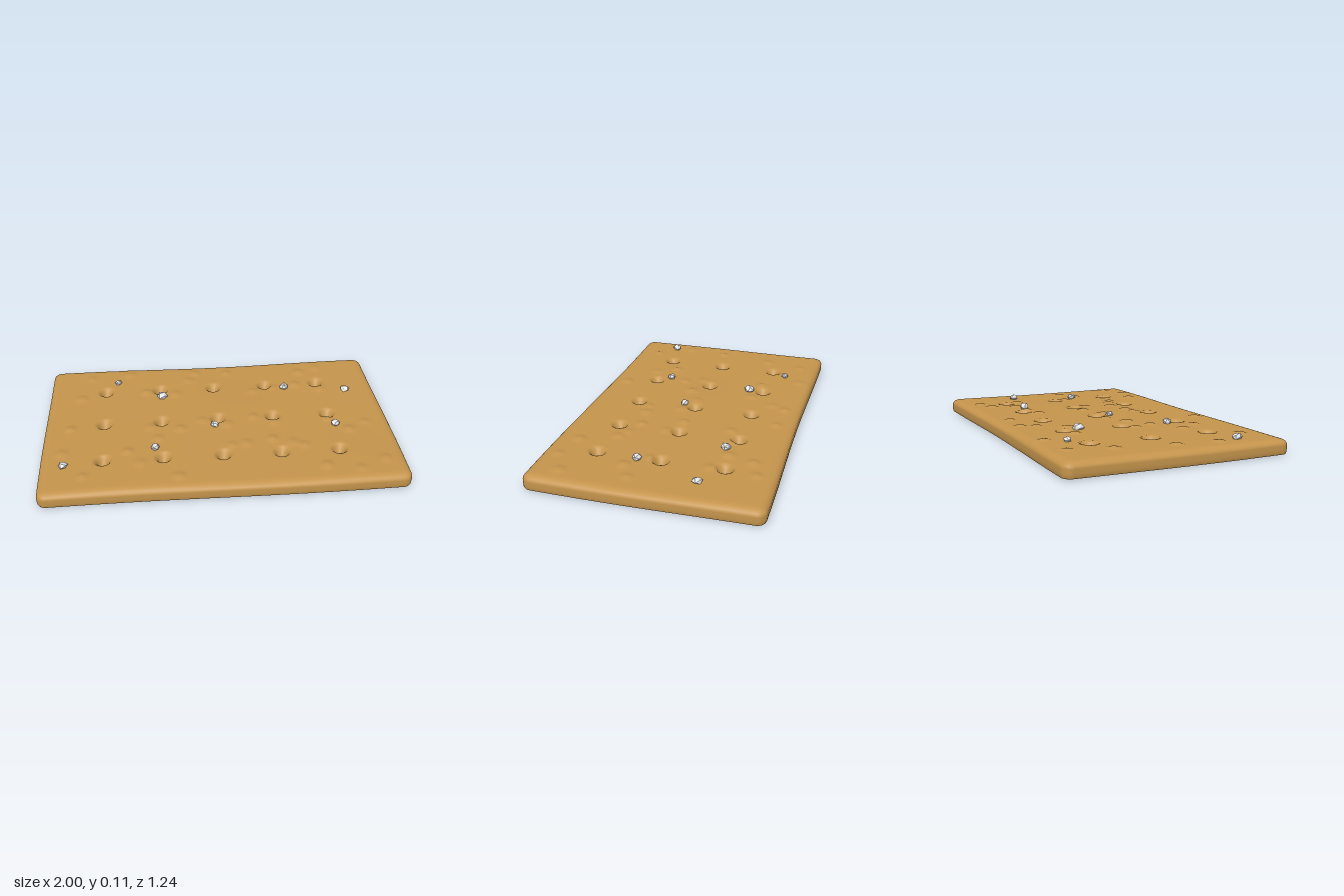
import * as THREE from 'three';

// Half size of the flat top, and the rounded border around it
const HX = 0.945, HZ = 0.565, BORDER = 0.05, TOP = 0.08;
const NX = 170, NZ = 104;

// Skirt profile from the flat top outwards and down: [outward, y]
const SKIRT = [[0, TOP]];
for (let i = 1; i <= 6; i++) {
  const a = (i / 6) * Math.PI / 2;
  SKIRT.push([BORDER * Math.sin(a), TOP - 0.032 * (1 - Math.cos(a))]);
}
SKIRT.push([BORDER, 0.025], [BORDER - 0.001, 0.01], [BORDER - 0.005, 0.002]);
const K = SKIRT.length - 1;

const BUMPS = [
  [-0.75, -0.5], [-0.51, -0.53], [-0.1, -0.52], [-0.14, -0.44], [0.1, -0.51], [0.56, -0.47], [0.68, -0.51],
  [-0.8, -0.28], [-0.41, -0.32], [-0.23, -0.29], [0.24, -0.28], [0.51, -0.33], [0.37, -0.31], [0.66, -0.27],
  [-0.85, 0.03], [-0.39, 0.05], [-0.35, 0.16], [-0.22, 0.08], [-0.09, 0.01], [0.05, 0.06], [0.21, 0],
  [0.33, 0.06], [0.64, 0.05], [0.74, 0.16], [0.85, 0.1], [-0.88, 0.26], [-0.52, 0.27], [-0.45, 0.38],
];
const BUMPS_FRONT = [
  [-0.76, 0.47], [-0.25, 0.51], [0.06, 0.26], [0.14, 0.25], [0.29, 0.22], [0.4, 0.26], [0.46, 0.29],
  [0.55, 0.48], [0.73, 0.52], [0.88, 0.45],
];
// x, z, radius of each salt crystal
const SALT = [
  [-0.58, -0.435, 0.022], [-0.315, -0.26, 0.032], [0.44, -0.3, 0.029], [0.81, -0.245, 0.027],
  [-0.02, 0.065, 0.025], [0.675, 0.115, 0.026], [-0.37, 0.255, 0.027], [-0.87, 0.37, 0.029],
];

function seeded(seed) {
  return () => (seed = (seed * 16807) % 2147483647) / 2147483647;
}

// Soft round bell, 1 in the middle and 0 at the radius
function bell(dx, dz, r) {
  const q = 1 - (dx * dx + dz * dz) / (r * r);
  return q > 0 ? q * q : 0;
}

// Dimples and bubbles on the top surface
function relief(x, z) {
  let h = 0.0015 * Math.sin(5 * x + 1) * Math.cos(6 * z);
  for (const px of [-0.655, -0.325, 0.003, 0.325, 0.648]) {
    for (const pz of [-0.345, -0.008, 0.337]) h -= 0.055 * bell(x - px, z - pz, 0.052);
  }
  [...BUMPS, ...BUMPS_FRONT].forEach(([bx, bz], i) => {
    h += (0.007 + 0.003 * (i % 3) / 2) * bell(x - bx, z - bz, 0.045 + 0.006 * (i % 2));
  });
  return h;
}

// One grid: the middle is the top, the outer K rows fold down as the skirt
function crackerGeometry() {
  const cols = NX + 2 * K, rows = NZ + 2 * K;
  const geo = new THREE.PlaneGeometry(2, 2, cols, rows);
  const pos = geo.attributes.position;
  for (let j = 0, n = 0; j <= rows; j++) {
    for (let i = 0; i <= cols; i++, n++) {
      const ci = Math.min(Math.max(i, K), K + NX), cj = Math.min(Math.max(j, K), K + NZ);
      let x = ((ci - K) / NX * 2 - 1) * HX, z = ((cj - K) / NZ * 2 - 1) * HZ;
      const di = i - ci, dj = j - cj;
      const level = Math.max(Math.abs(di), Math.abs(dj));
      const len = Math.hypot(di, dj) || 1;
      const [out, y0] = SKIRT[level];
      const y = y0 + relief(x, z) * (level < 4 ? 1 : 0);
      x += out * di / len;
      z += out * dj / len;
      // Slightly uneven baked outline and underside
      const wx = 0.004 * Math.sin(4 * z + 0.6) * x;
      const wz = 0.006 * (z < 0 ? -1 : 1) * Math.abs(z) / 0.615 * (z < 0 ? -Math.cos(3.4 * x) : Math.sin(3 * x));
      const wy = 0.002 * (1 + Math.cos(3 * x) * Math.cos(3 * z));
      pos.setXYZ(n, x + wx, y + wy, z + wz);
    }
  }
  geo.computeVertexNormals();
  return geo;
}

// Faceted, irregular grain
function saltGeometry(r, seed) {
  const rand = seeded(seed);
  for (let i = 0; i < 4; i++) rand();
  const geo = new THREE.IcosahedronGeometry(r, 0);
  const pos = geo.attributes.position;
  const scale = new Map();
  for (let i = 0; i < pos.count; i++) {
    const key = [pos.getX(i), pos.getY(i), pos.getZ(i)].map((v) => Math.round(v * 1e4)).join();
    if (!scale.has(key)) scale.set(key, 0.8 + 0.4 * rand());
    const s = scale.get(key);
    pos.setXYZ(i, pos.getX(i) * s, pos.getY(i) * s * 0.72, pos.getZ(i) * s);
  }
  geo.rotateY(rand() * 6);
  geo.computeVertexNormals();
  return geo;
}

export function createModel() {
  const model = new THREE.Group();
  model.name = 'cracker';

  const baked = new THREE.MeshStandardMaterial({ color: 0xc4944c, side: THREE.DoubleSide });
  baked.name = 'baked dough';
  const white = new THREE.MeshStandardMaterial({ color: 0xe6e6e6, flatShading: true });
  white.name = 'salt white';

  // Hollow cracker shell with an open underside
  const shell = new THREE.Mesh(crackerGeometry(), baked);
  shell.name = 'crackerShell';
  model.add(shell);

  // Scattered salt crystals
  const salt = new THREE.Group();
  salt.name = 'saltCrystals';
  SALT.forEach(([x, z, r], i) => {
    const grain = new THREE.Mesh(saltGeometry(r, 911 + i * 3571), white);
    grain.name = 'saltCrystal' + (i + 1);
    grain.position.set(x, TOP + 0.012, z);
    salt.add(grain);
  });
  model.add(salt);
  return model;
}
